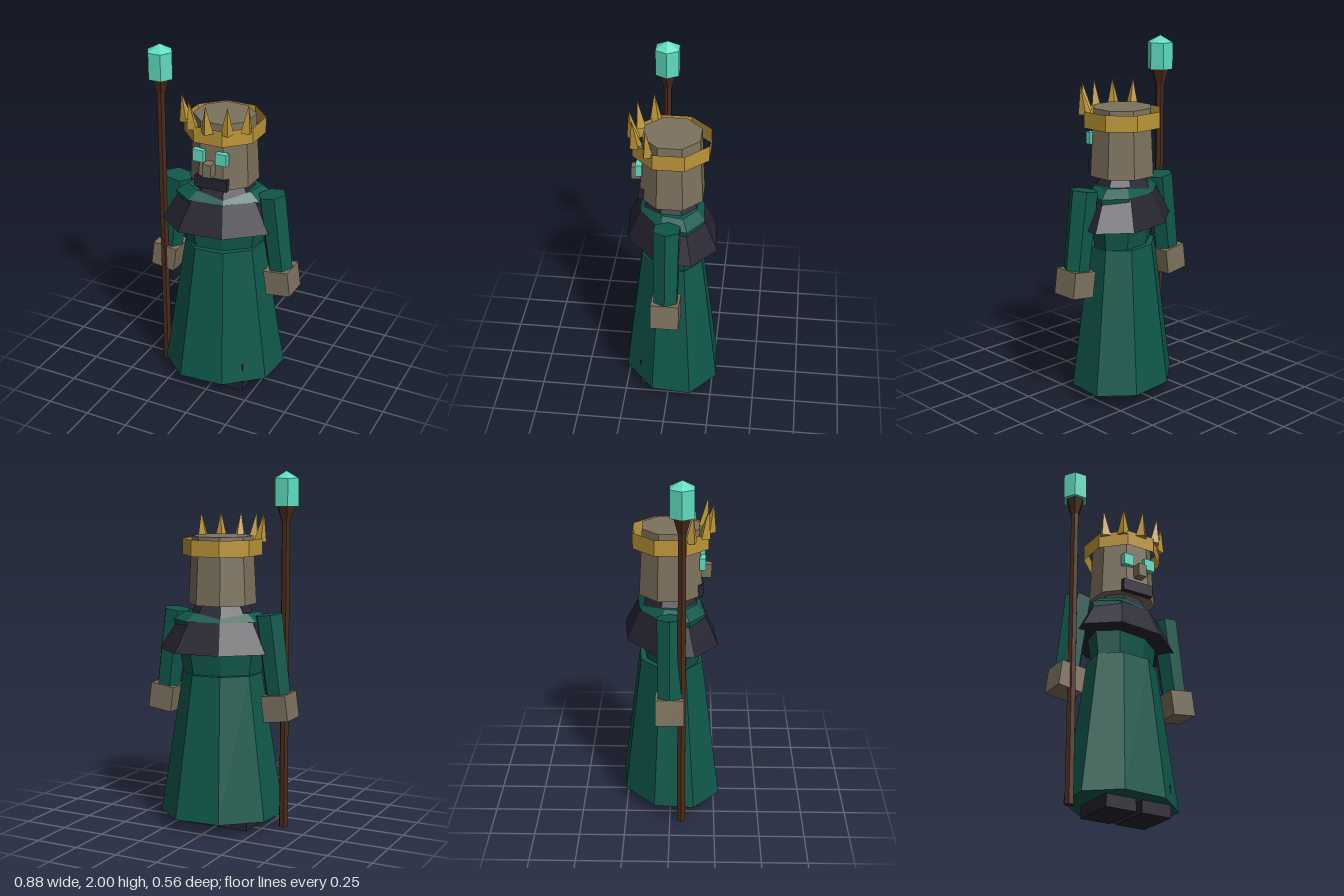
import * as THREE from 'three';

const mat = (name, color, extra = {}) => {
  const m = new THREE.MeshStandardMaterial({ color, flatShading: true, ...extra });
  m.name = name;
  return m;
};

export function createModel() {
  const model = new THREE.Group();
  model.name = 'robedKing';

  const green = mat('robe green', 0x10584b);
  const dark = mat('dark cloth', 0x262431);
  const tan = mat('weathered skin', 0x7d725e);
  const gold = mat('gold', 0xbd9638);
  const teal = mat('teal glow', 0x5fdcc0);
  const brown = mat('staff wood', 0x4a2b1a);
  gold.side = THREE.DoubleSide;

  const add = (name, geometry, material, x = 0, y = 0, z = 0, parent = model) => {
    const mesh = new THREE.Mesh(geometry, material);
    mesh.name = name;
    mesh.position.set(x, y, z);
    parent.add(mesh);
    return mesh;
  };
  const box = (name, w, h, d, material, x, y, z, parent) =>
    add(name, new THREE.BoxGeometry(w, h, d), material, x, y, z, parent);

  // Eight-sided tapered layer between two heights, flattened in depth and turned
  const layer = (name, material, y0, y1, r0, r1, depth) => {
    const mesh = add(name, new THREE.CylinderGeometry(r1, r0, y1 - y0, 8), material, 0, (y0 + y1) / 2, 0);
    mesh.scale.z = depth;
    mesh.rotation.y = Math.PI / 8;
    return mesh;
  };

  // Robe and collar
  layer('skirt', green, 0.07, 0.88, 0.35, 0.223, 0.8);
  layer('torso', green, 0.8, 1.18, 0.205, 0.272, 0.65);
  layer('shoulderYoke', green, 1.18, 1.225, 0.272, 0.205, 0.66);
  layer('cape', dark, 1.01, 1.18, 0.352, 0.248, 0.73);
  layer('neckCollar', dark, 1.19, 1.32, 0.195, 0.11, 0.85);

  // Head and face
  layer('head', tan, 1.27, 1.645, 0.19, 0.17, 0.98);
  box('nose', 0.05, 0.075, 0.07, tan, 0, 1.393, 0.188);
  box('beard', 0.19, 0.068, 0.035, dark, 0, 1.301, 0.16);

  // Crown: open band with a fan of spikes over the brow
  const crown = new THREE.Group();
  crown.name = 'crown';
  model.add(crown);
  const band = add('crownBand', new THREE.CylinderGeometry(0.222, 0.222, 0.09, 8, 1, true), gold, 0, 1.585, 0, crown);
  band.rotation.y = Math.PI / 8;
  for (let i = -2; i <= 2; i++) {
    const arm = new THREE.Group();
    arm.name = 'crownSpikeMount';
    arm.rotation.y = i * 0.51;
    crown.add(arm);
    const spike = add('crownSpike', new THREE.ConeGeometry(0.036, 0.16, 4), gold, 0, 1.69, 0.22, arm);
    spike.rotation.x = 0.14;
  }

  // Mirrored eyes, arms, hands and feet
  for (const s of [1, -1]) {
    const side = s > 0 ? 'left' : 'right';
    box(side + 'Eye', 0.065, 0.068, 0.035, teal, s * 0.068, 1.457, 0.172);

    const sleeveGeo = new THREE.CylinderGeometry(0.08, 0.073, 0.46, 6);
    sleeveGeo.rotateY(Math.PI / 6);
    const sleeve = add(side + 'Sleeve', sleeveGeo, green, s * 0.317, 0.995, 0);
    sleeve.rotation.z = s * 0.135;

    const hand = box(side + 'Hand', 0.145, 0.145, 0.156, tan, s * 0.356, 0.715, 0);
    hand.rotation.z = s * 0.135;

    box(side + 'Foot', 0.18, 0.18, 0.26, dark, s * 0.108, 0.09, 0.04);
  }

  // Staff: pole, flared socket and crystal with a pointed cap
  const staff = new THREE.Group();
  staff.name = 'staff';
  staff.position.set(-0.354, 0, 0.064);
  model.add(staff);
  const rod = (name, material, y0, y1, r0, r1) => {
    const g = new THREE.CylinderGeometry(r1, r0, y1 - y0, 6);
    g.rotateY(Math.PI / 6);
    add(name, g, material, 0, (y0 + y1) / 2, 0, staff);
  };
  rod('pole', brown, 0.01, 1.74, 0.026, 0.024);
  rod('socket', brown, 1.72, 1.81, 0.025, 0.052);
  rod('crystal', teal, 1.81, 1.96, 0.074, 0.074);
  rod('crystalTip', teal, 1.96, 2.0, 0.074, 0);

  return model;
}
